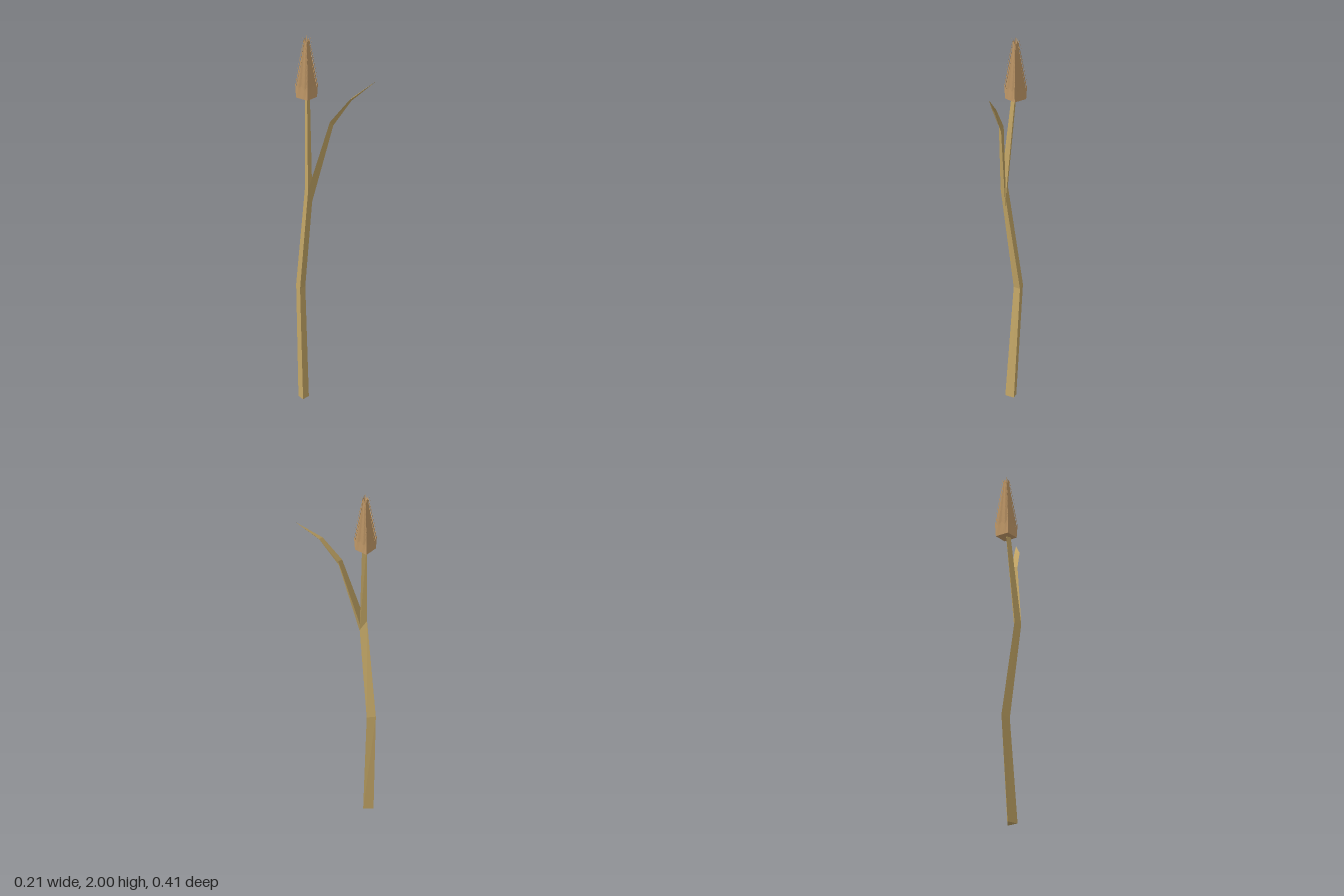
import * as THREE from 'three';

const stemMat = new THREE.MeshStandardMaterial({ color: 0xc4a767, flatShading: true });
const headMat = new THREE.MeshStandardMaterial({ color: 0xc69d6b, flatShading: true, side: THREE.DoubleSide });

// Skin a series of rings (bottom to top) with flat faces and close the first ring.
function loft(rings, name, mat) {
  const pos = [];
  const tri = (a, b, c) => pos.push(...a, ...b, ...c);
  const n = rings[0].length;
  for (let r = 0; r < rings.length - 1; r++) {
    for (let i = 0; i < n; i++) {
      const j = (i + 1) % n;
      tri(rings[r][i], rings[r][j], rings[r + 1][j]);
      tri(rings[r][i], rings[r + 1][j], rings[r + 1][i]);
    }
  }
  for (let i = 1; i < n - 1; i++) tri(rings[0][0], rings[0][i + 1], rings[0][i]);
  const geo = new THREE.BufferGeometry();
  geo.setAttribute('position', new THREE.Float32BufferAttribute(pos, 3));
  geo.computeVertexNormals();
  const mesh = new THREE.Mesh(geo, mat);
  mesh.name = name;
  return mesh;
}

// One square ring of 16 points; lift(k) raises point k of each side (0 = corner, 2 = middle).
function squareRing(half, y, lift = () => 0) {
  const ring = [];
  const corners = [[-1, 1], [1, 1], [1, -1], [-1, -1]];
  corners.forEach(([x, z], s) => {
    const [nx, nz] = corners[(s + 1) % 4];
    for (let k = 0; k < 4; k++) {
      const t = k / 4;
      ring.push([half * (x + (nx - x) * t), y + lift(k), half * (z + (nz - z) * t)]);
    }
  });
  return ring;
}

export function createModel() {
  const group = new THREE.Group();

  // Bent three-sided stem: front left, front right and back corner per level
  group.add(loft([
    [[-0.105, 0, -0.125], [-0.046, 0, -0.13], [-0.075, 0, -0.176]],
    [[-0.08, 0.6, -0.162], [-0.033, 0.6, -0.162], [-0.055, 0.61, -0.205]],
    [[-0.107, 1.16, -0.092], [-0.068, 1.11, -0.092], [-0.087, 1.17, -0.126]],
    [[-0.061, 1.7, -0.131], [-0.036, 1.7, -0.131], [-0.048, 1.7, -0.153]],
  ], 'stem', stemMat));

  // Leaf: left edge, keel underneath, right edge, closing to a tip
  const tip = [0.105, 1.78, 0.2];
  group.add(loft([
    [[-0.107, 1.17, -0.092], [-0.085, 1.01, -0.109], [-0.068, 1.15, -0.092]],
    [[-0.031, 1.545, -0.006], [-0.008, 1.522, 0], [0.005, 1.555, -0.006]],
    [[0.014, 1.675, 0.088], [0.031, 1.665, 0.088], [0.046, 1.682, 0.088]],
    [tip, tip, tip],
  ], 'leaf', stemMat));

  // Seed head: nested square cups with pointed rims, narrowing upwards
  const head = new THREE.Group();
  head.name = 'seedHead';
  const layers = 10;
  const rimLift = (k) => [0.02, -0.012, 0.008, -0.012][k];
  for (let i = 0; i < layers; i++) {
    const t = i / (layers - 1);
    const half = 0.039 - 0.026 * t;
    const y = 1.66 + 0.255 * t;
    head.add(loft([
      squareRing(half - (i ? 0.004 : 0), y),
      squareRing(half + 0.004 - 0.002 * t, y + 0.065, rimLift),
    ], 'scaleLayer' + (i + 1), headMat));
  }
  head.rotation.y = -0.07;
  head.position.set(-0.047, 0, -0.144);
  group.add(head);

  return group;
}
